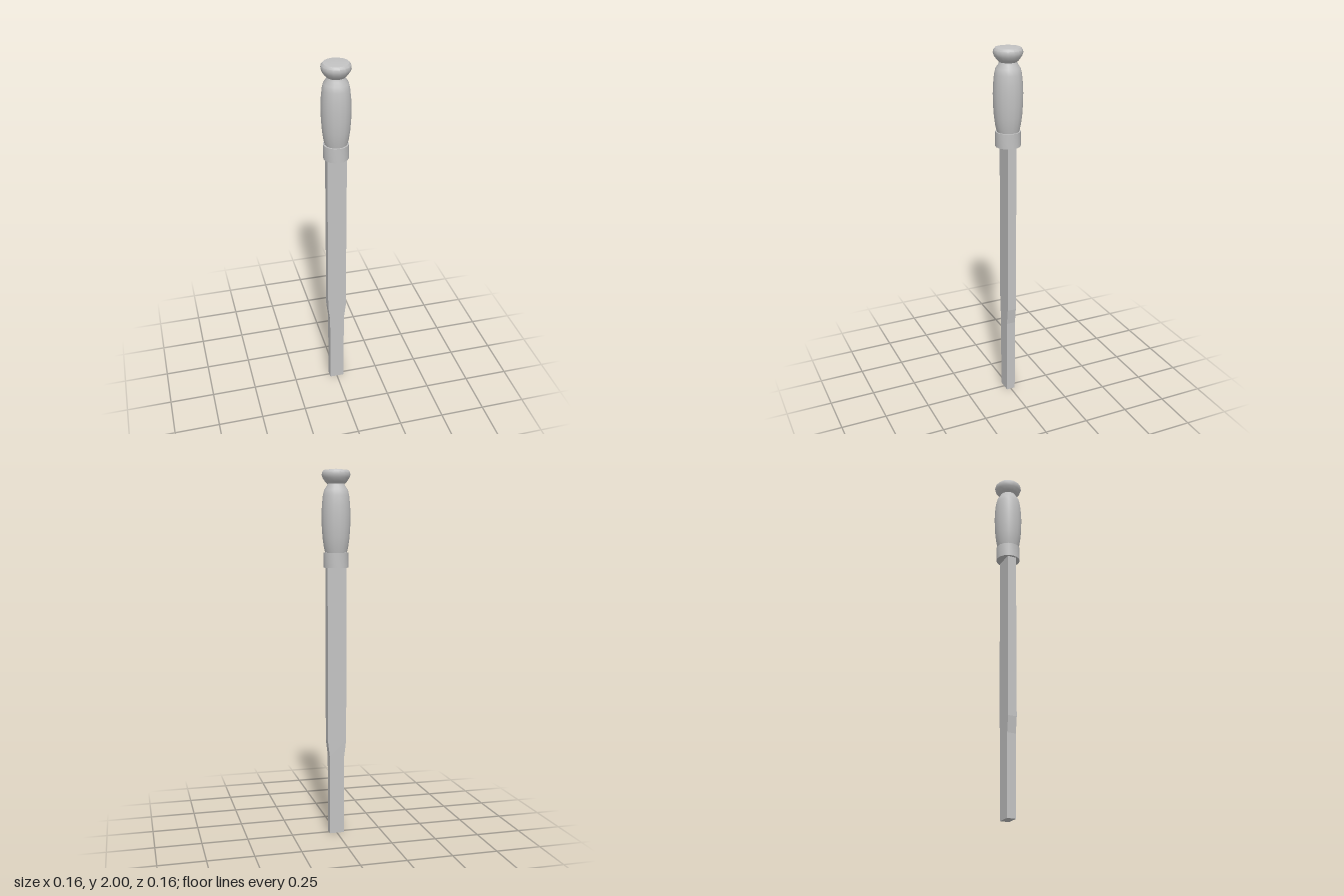
import * as THREE from 'three';
import { toCreasedNormals } from 'three/addons/utils/BufferGeometryUtils.js';

const SIDES = 16;

export function createModel() {
  const group = new THREE.Group();
  group.name = 'handFile';
  const steel = new THREE.MeshStandardMaterial({ color: 0xc2c2c2 });
  steel.name = 'grey steel';

  const add = (name, geometry) => {
    const mesh = new THREE.Mesh(geometry, steel);
    mesh.name = name;
    group.add(mesh);
  };
  // Turned part from [radius, height] pairs, listed bottom to top
  const turned = (name, profile, crease) => {
    const points = profile.map(([r, y]) => new THREE.Vector2(r, y));
    add(name, toCreasedNormals(new THREE.LatheGeometry(points, SIDES), crease));
  };

  // Flat blade, wider above and narrowing towards the tip
  const outline = [[0.041, 0], [0.041, 0.44], [0.052, 0.53], [0.052, 1.5]];
  const mirrored = outline.map(([x, y]) => [-x, y]).reverse();
  const shape = new THREE.Shape([...outline, ...mirrored].map(([x, y]) => new THREE.Vector2(x, y)));
  const blade = new THREE.ExtrudeGeometry(shape, { depth: 0.05, bevelEnabled: false });
  blade.translate(0, 0, -0.025);
  add('blade', blade);

  // Collar between blade and grip
  turned('collar', [[0, 1.48], [0.067, 1.48], [0.067, 1.56], [0, 1.56]], 0.6);

  // Bulging grip
  turned('grip', [
    [0.058, 1.555], [0.066, 1.59], [0.073, 1.64], [0.077, 1.70], [0.078, 1.76],
    [0.076, 1.81], [0.071, 1.86], [0.064, 1.89], [0.05, 1.91], [0.045, 1.925],
  ], 0.9);

  // Flared end knob
  turned('knob', [
    [0.045, 1.92], [0.058, 1.932], [0.072, 1.952], [0.077, 1.968],
    [0.075, 1.982], [0.066, 1.993], [0, 2],
  ], 0.6);

  return group;
}
